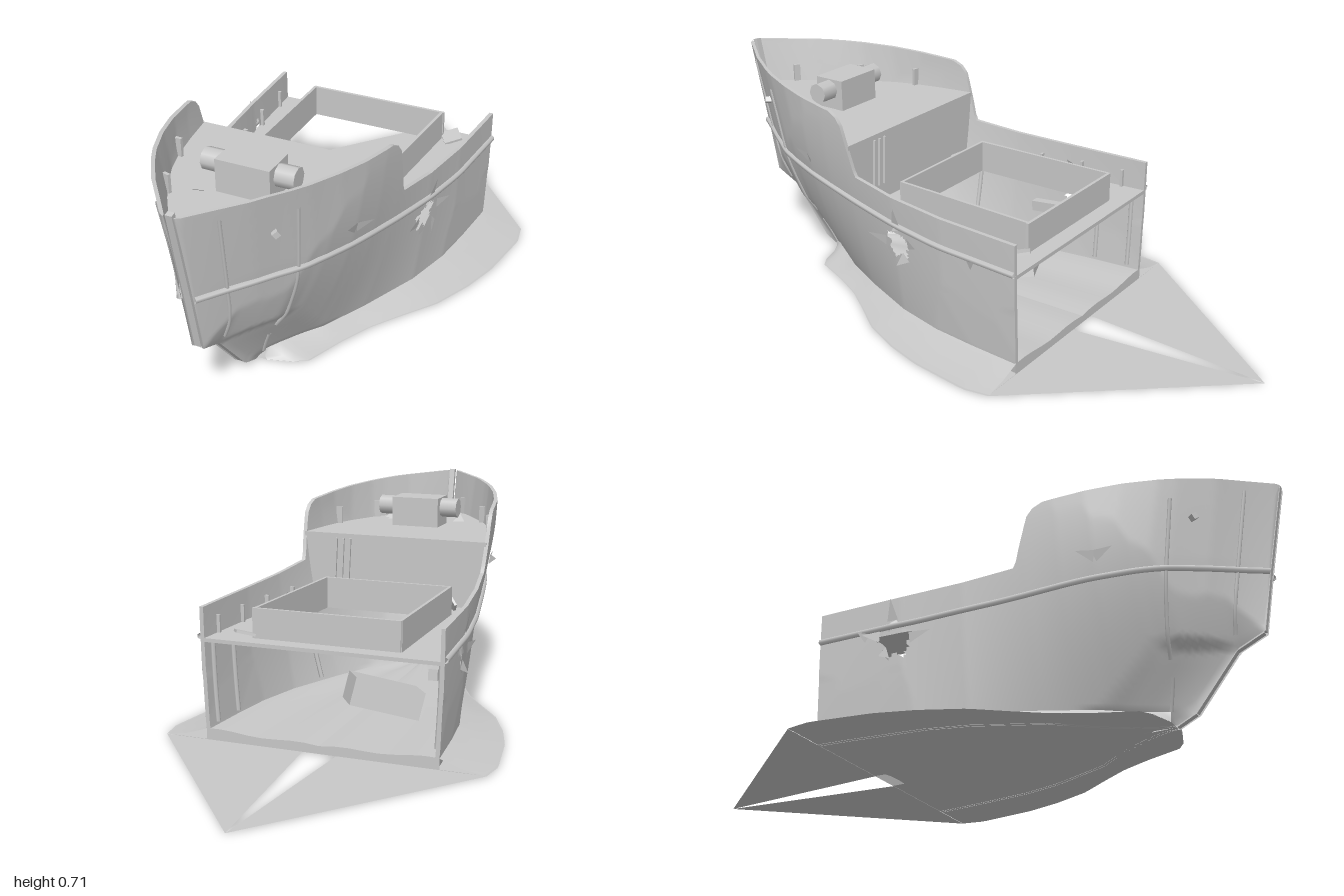
import * as THREE from 'three';

const steel = new THREE.MeshStandardMaterial({ color: 0xc8c8c8, side: THREE.DoubleSide });
steel.name = 'grey steel';

// Piecewise linear lookup in a list of [key, value] pairs with rising keys
function lookup(table, k) {
  if (k <= table[0][0]) return table[0][1];
  for (let i = 1; i < table.length; i++) {
    const [a, va] = table[i - 1], [b, vb] = table[i];
    if (k <= b) return va + (vb - va) * (k - a) / (b - a);
  }
  return table[table.length - 1][1];
}

const STERN = -0.38;
const STEM = [[0.63, 0], [0.69, 0.03], [0.825, 0.2], [0.91, 0.24], [0.945, 0.43], [1, 0.705]];
const STEM_BY_HEIGHT = STEM.map(([z, y]) => [y, z]);
const TOP_EDGE = [[-0.38, 0.425], [-0.1, 0.43], [0.1, 0.44], [0.265, 0.46], [0.275, 0.5], [0.31, 0.62], [0.33, 0.645], [0.36, 0.66], [0.6, 0.683], [0.8, 0.698], [1, 0.705]];
const WIDE = [[-0.38, 0.395], [-0.1, 0.382], [0.1, 0.365], [0.29, 0.342], [0.4, 0.328], [0.5, 0.31], [0.6, 0.28], [0.7, 0.238], [0.75, 0.21], [0.85, 0.145], [0.93, 0.08], [0.97, 0.048], [1, 0.024]];
const NARROW = [[-0.38, 0.383], [-0.1, 0.355], [0.1, 0.3], [0.3, 0.21], [0.45, 0.13], [0.55, 0.07], [0.63, 0.02], [1, 0.018]];
const ENTRY = [[0, 0.4], [0.165, 0.6], [0.45, 0.85], [0.7, 1]];
const SKIRT = [[-0.39, 0.52], [-0.3, 0.535], [-0.1, 0.505], [0.02, 0.468], [0.15, 0.41], [0.26, 0.328], [0.35, 0.265], [0.45, 0.215], [0.585, 0.16], [0.62, 0.05]];
const RAIL = [[-0.38, 0.332], [-0.07, 0.338], [0.1, 0.35], [0.25, 0.365], [0.45, 0.392], [0.62, 0.41], [0.75, 0.418], [0.96, 0.424]];

// Half width of the hull at a given station and height
function hullX(z, y) {
  const low = lookup(STEM, z);
  const v = THREE.MathUtils.clamp((y - low) / Math.max(0.705 - low, 0.001), 0, 1);
  const a = lookup(NARROW, z), b = Math.max(lookup(WIDE, z), a);
  const frame = a + (b - a) * (1 - Math.pow(1 - v, 1.9));
  // Sharpen the waterlines behind the stem
  const back = Math.max(lookup(STEM_BY_HEIGHT, y) - z, 0);
  const k = lookup(ENTRY, y);
  const waterline = lookup(WIDE, 1 - back) * (k + (1 - k) * THREE.MathUtils.smoothstep(back, 0, 0.5));
  return Math.max(Math.min(frame, waterline), 0.018);
}

// Grid surface from a point rule, with an optional test that leaves cells out
function surface(rows, cols, point, skip) {
  const pos = [], index = [];
  for (let i = 0; i <= rows; i++) for (let j = 0; j <= cols; j++) pos.push(...point(i / rows, j / cols));
  for (let i = 0; i < rows; i++) for (let j = 0; j < cols; j++) {
    const a = i * (cols + 1) + j, b = a + cols + 1;
    for (const tri of [[a, b, a + 1], [a + 1, b, b + 1]]) {
      const mid = (k) => (pos[tri[0] * 3 + k] + pos[tri[1] * 3 + k] + pos[tri[2] * 3 + k]) / 3;
      if (!skip || !skip(mid(2), mid(1))) index.push(...tri);
    }
  }
  const g = new THREE.BufferGeometry();
  g.setAttribute('position', new THREE.Float32BufferAttribute(pos, 3));
  g.setIndex(index);
  g.computeVertexNormals();
  return g;
}

function triangle(...points) {
  const g = new THREE.BufferGeometry().setFromPoints(points.map((p) => new THREE.Vector3(...p)));
  g.computeVertexNormals();
  return g;
}

export function createModel() {
  const model = new THREE.Group();
  model.name = 'wreckedBow';
  const add = (name, geometry) => {
    const mesh = new THREE.Mesh(geometry, steel);
    mesh.name = name;
    model.add(mesh);
    return mesh;
  };
  const box = (name, size, at, turn = [0, 0, 0]) => {
    const mesh = add(name, new THREE.BoxGeometry(...size));
    mesh.position.set(...at);
    mesh.rotation.set(...turn);
  };
  const tube = (name, points, radius, segments = 40) => add(name, new THREE.TubeGeometry(
    new THREE.CatmullRomCurve3(points.map((p) => new THREE.Vector3(...p))), segments, radius, 6));

  for (const s of [1, -1]) {
    // Jagged opening torn in the side
    const hz = s > 0 ? 0.09 : -0.12, hy = s > 0 ? 0.28 : 0.29;
    const torn = (z, y) => {
      const a = Math.atan2(y - hy, z - hz);
      return Math.hypot(z - hz, y - hy) < 0.053 + 0.01 * Math.sin(5 * a) + 0.006 * Math.sin(9 * a);
    };

    // Hull plating: outer skin, inner skin and the edges between them
    const skin = (inset) => (u, v) => {
      const z = STERN + (1 - STERN) * u, low = lookup(STEM, z);
      const y = low + (lookup(TOP_EDGE, z) - low) * v;
      return [s * Math.max(hullX(z, y) - inset, 0.014), y, z];
    };
    const outer = skin(0), inner = skin(0.013);
    add('hullOuter', surface(138, 38, outer, torn));
    add('hullInner', surface(138, 38, inner, torn));
    add('bulwarkCap', surface(138, 1, (u, v) => (v ? inner : outer)(u, 1)));
    add('cutEdge', surface(20, 1, (u, v) => (v ? inner : outer)(0, u)));

    // Rubbing rail along the side
    const rail = [];
    for (let i = 0; i <= 20; i++) {
      const z = STERN + (0.943 - STERN) * i / 20, y = lookup(RAIL, z);
      rail.push([s * (hullX(z, y) + 0.002), y, z]);
    }
    tube('rubbingRail', rail, 0.01, 60);

    // Raised seams on the bow
    for (const [y0, z0, y1, z1] of [[0.67, 0.91, 0.235, 0.828], [0.63, 0.72, 0.17, 0.65], [0.125, 0.645, 0.035, 0.62]]) {
      const seam = [];
      for (let i = 0; i <= 8; i++) {
        const y = y0 + (y1 - y0) * i / 8, z = z0 + (z1 - z0) * i / 8;
        seam.push([s * hullX(z, y), y, z]);
      }
      tube('bowSeam', seam, 0.006, 24);
    }
    box('hawseFitting', [0.018, 0.018, 0.02], [s * 0.175, 0.572, 0.775], [0, s * 0.7, 0.6]);

    // Stays inside the bulwarks and frames in the hold
    for (const z of [0.5, 0.69, 0.88]) {
      box('bulwarkStay', [0.022, 0.06, 0.01], [s * (hullX(z, 0.6) - 0.022), 0.585, z], [0, s * (z - 0.4), 0]);
    }
    for (const z of [-0.3, -0.15, 0, 0.15]) {
      box('deckStay', [0.014, 0.06, 0.009], [s * (hullX(z, 0.33) - 0.016), 0.355, z]);
    }
    for (const z of [-0.34, -0.22, 0.22]) {
      const frame = [0.05, 0.14, 0.23, 0.32].map((y) => [s * (hullX(z, y) - 0.018), y, z]);
      tube('holdFrame', frame, 0.008, 12);
    }

    // Bent shards of plating: station, height, length, direction, outward bend
    const shards = [[hz - 0.005, hy + 0.065, 0.07, 1.6, 0.015], [hz + 0.05, hy, 0.075, 0.1, 0.02],
      [hz - 0.04, hy - 0.03, 0.05, -0.8, 0.02], [hz, hy + 0.05, 0.05, 1.1, -0.03],
      [hz - 0.05, hy + 0.02, 0.05, 3, 0.02],
      [0.5, 0.46, 0.06, 0.35, 0.015], [0.5, 0.46, 0.045, 2.9, 0.025], [-0.21, 0.315, 0.035, 2.6, 0.015]];
    for (const [z, y, len, dir, bend] of shards) {
      const c = Math.cos(dir), d = Math.sin(dir), w = 0.018;
      const at = (dz, dy, out) => [s * (hullX(z + dz, y + dy) + out), y + dy, z + dz];
      add('tornPlate', triangle(at(-d * w, c * w, 0.003), at(d * w, -c * w, 0.003), at(c * len, d * len, bend)));
    }

    // Seabed skirt: slope up to the hull, floor inside, flat underside and tail
    const station = (u) => STERN + (0.62 - STERN) * u;
    const bank = (z) => Math.min(hullX(z, 0.035), lookup(SKIRT, z) - 0.01);
    const floorPoint = (u, v) => {
      const z = station(u);
      return [s * bank(z) * v, 0.025 + 0.01 * v + 0.004 * Math.sin(v * 9), z];
    };
    add('skirtSlope', surface(40, 2, (u, v) => {
      const z = station(u), a = lookup(SKIRT, z), b = bank(z);
      return [s * (a + (b - a) * v), 0.035 * Math.pow(v, 1.6), z];
    }));
    add('holdFloor', surface(40, 8, floorPoint));
    add('floorEdge', surface(8, 1, (u, v) => {
      const [x, y, z] = floorPoint(0, u);
      return [x, y * v, z];
    }));
    add('skirtUnderside', surface(40, 1, (u, v) => {
      const z = station(u), slit = 0.055 * (1 - u);
      return [s * (slit + (lookup(SKIRT, z) - slit) * v), 0.001, z];
    }));
    add('skirtTail', triangle([0, 0, -1], [s * 0.522, 0, STERN], [s * 0.055, 0, STERN]));
  }

  // Stem bar set in the slot between the two sides
  for (let i = 1; i < STEM.length; i++) {
    const [z0, y0] = STEM[i - 1], [z1, y1] = STEM[i];
    box('stemBar', [0.02, 0.016, Math.hypot(z1 - z0, y1 - y0)],
      [0, (y0 + y1) / 2 + 0.005, (z0 + z1) / 2 - 0.008], [-Math.atan2(y1 - y0, z1 - z0), 0, 0]);
  }

  // Decks follow the hull outline; the main deck has a hatch
  const deck = (name, y, from, to, hatch) => {
    const side = [];
    for (let i = 0; i <= 24; i++) {
      const z = from + (to - from) * i / 24;
      side.push(new THREE.Vector2(hullX(z, y) - 0.008, -z));
    }
    const mirror = side.map((p) => new THREE.Vector2(-p.x, p.y)).reverse();
    const shape = new THREE.Shape([...side, ...mirror]);
    if (hatch) shape.holes.push(new THREE.Path(hatch.map(([x, z]) => new THREE.Vector2(x, -z))));
    const g = new THREE.ExtrudeGeometry(shape, { depth: 0.012, bevelEnabled: false });
    g.rotateX(-Math.PI / 2);
    add(name, g).position.y = y - 0.012;
  };
  deck('mainDeck', 0.327, STERN, 0.29, [[-0.235, -0.32], [0.23, -0.32], [0.2, 0.18], [-0.235, 0.18]]);
  deck('foredeck', 0.556, 0.287, 0.955);

  // Bulkhead cut to the hull section
  add('bulkhead', surface(8, 1, (u, v) => {
    const y = 0.32 + 0.235 * u;
    return [(hullX(0.287, y) - 0.008) * (1 - 2 * v), y, 0.287];
  }));

  // Hatch coaming
  box('coamingBack', [0.48, 0.105, 0.01], [0, 0.37, -0.322]);
  box('coamingFront', [0.45, 0.105, 0.01], [-0.018, 0.37, 0.178]);
  box('coamingLeft', [0.01, 0.105, 0.5], [0.217, 0.37, -0.072], [0, -0.06, 0]);
  box('coamingRight', [0.01, 0.105, 0.5], [-0.238, 0.37, -0.072]);

  // Broken ladder on the bulkhead
  for (const x of [0.16, 0.185, 0.21]) box('ladderRail', [0.007, 0.16, 0.008], [x, 0.46, 0.282], [0, 0, 0.05]);

  // Winch on the foredeck
  box('winchBase', [0.17, 0.105, 0.11], [0, 0.606, 0.577]);
  const drum = add('winchDrum', new THREE.CylinderGeometry(0.034, 0.034, 0.29, 8));
  drum.rotation.z = Math.PI / 2;
  drum.position.set(0, 0.622, 0.577);

  // Loose debris
  box('fallenCrate', [0.23, 0.09, 0.15], [-0.09, 0.1, -0.055], [0.15, 0.52, 0.2]);
  box('looseBeam', [0.03, 0.035, 0.2], [-0.3, 0.22, -0.1], [0.1, 0, 0]);
  box('loosePlate', [0.06, 0.008, 0.06], [0.27, 0.34, -0.32], [0.2, 0.6, 0.15]);
  box('loosePlate', [0.06, 0.008, 0.1], [-0.225, 0.36, 0.23], [0.5, 0.3, 0.9]);
  for (const [x, z] of [[-0.125, 0.66], [0.12, 0.65], [0.14, 0.67]]) {
    add('scrap', triangle([x - 0.02, 0.56, z], [x + 0.02, 0.56, z - 0.015], [x + 0.005, 0.585, z + 0.03]));
  }
  return model;
}
